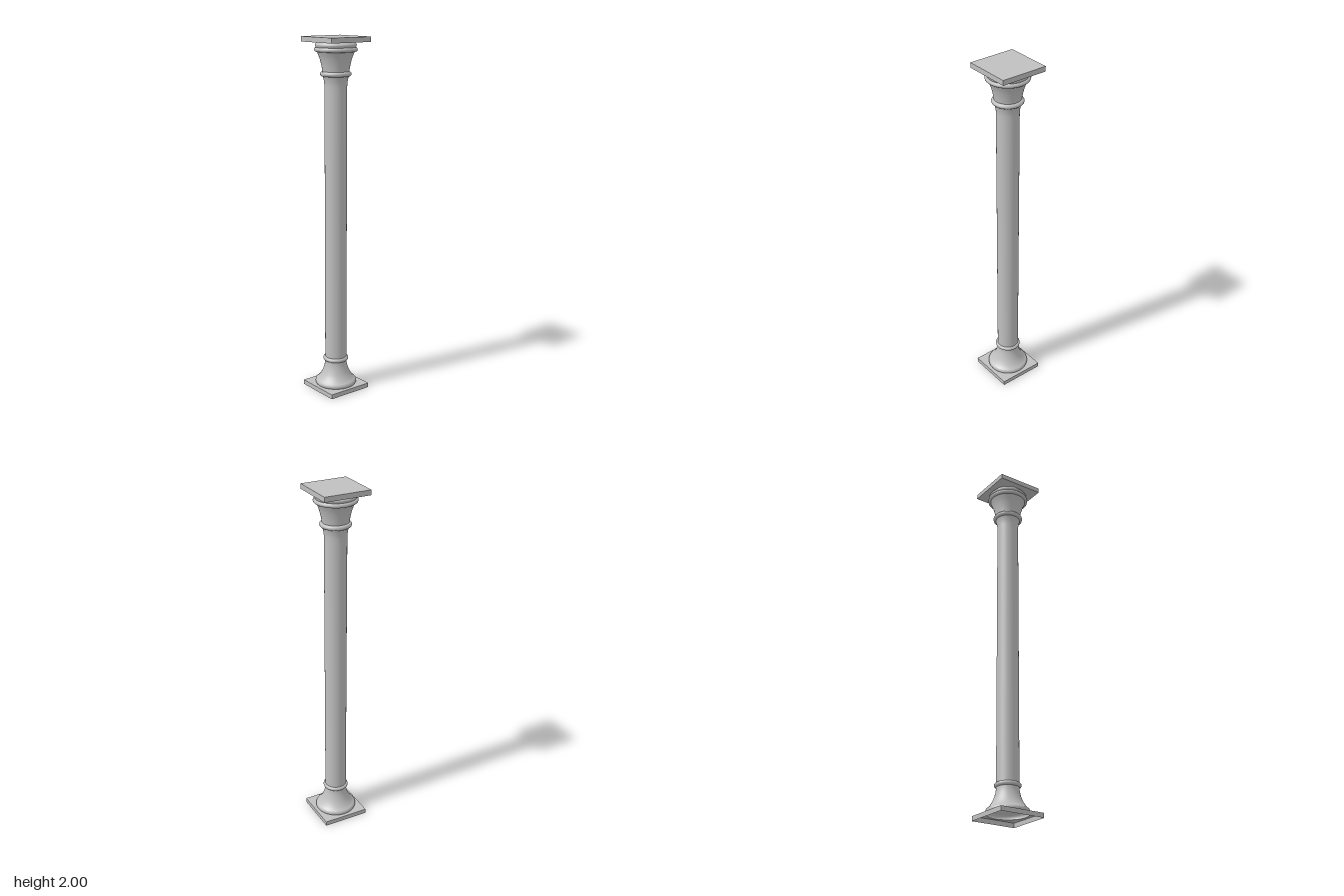
import * as THREE from 'three';

export function createModel() {
  const column = new THREE.Group();
  column.name = 'column';
  const stone = new THREE.MeshStandardMaterial({ color: 0xc0c0c0, side: THREE.DoubleSide });
  stone.name = 'grey stone';

  const add = (name, geometry, y = 0) => {
    const mesh = new THREE.Mesh(geometry, stone);
    mesh.name = name;
    mesh.position.y = y;
    column.add(mesh);
    return mesh;
  };
  // Turned part from [radius, height] points, optionally smoothed by a spline
  const turn = (name, points, smooth = false) => {
    let profile = points.map(([r, y]) => new THREE.Vector2(r, y));
    if (smooth) profile = new THREE.SplineCurve(profile).getPoints(20);
    return add(name, new THREE.LatheGeometry(profile, 48));
  };
  // Rounded moulding around the column
  const ring = (name, radius, y, tube) => {
    const geometry = new THREE.TorusGeometry(radius, tube, 12, 48);
    geometry.rotateX(Math.PI / 2);
    add(name, geometry, y);
  };

  const half = 0.133;

  // Hollow plinth: four side walls and a top with a round opening
  const square = new THREE.Shape([
    new THREE.Vector2(-half, -half), new THREE.Vector2(half, -half),
    new THREE.Vector2(half, half), new THREE.Vector2(-half, half),
  ]);
  square.holes.push(new THREE.Path().absarc(0, 0, 0.113, 0, Math.PI * 2, true));
  const plinthTop = new THREE.ShapeGeometry(square, 24);
  plinthTop.rotateX(-Math.PI / 2);
  add('plinthTop', plinthTop, 0.026);
  for (let i = 0; i < 4; i++) {
    const wall = new THREE.PlaneGeometry(half * 2, 0.026);
    wall.translate(0, 0.013, half);
    wall.rotateY(i * Math.PI / 2);
    add('plinthWall', wall);
  }

  // Flared base
  turn('baseFoot', [[0.113, 0.026], [0.117, 0.033], [0.117, 0.042], [0.113, 0.05]], true);
  turn('baseFlare', [[0.113, 0.05], [0.098, 0.064], [0.082, 0.088], [0.07, 0.117], [0.063, 0.145], [0.061, 0.17]], true);
  ring('baseRing', 0.06, 0.178, 0.012);

  // Shaft, spreading slightly at the neck
  turn('shaft', [[0.061, 0.17], [0.061, 1.72]]);
  turn('neck', [[0.061, 1.72], [0.062, 1.75], [0.066, 1.775], [0.072, 1.795]], true);

  // Capital
  ring('neckRing', 0.072, 1.803, 0.013);
  turn('capitalBell', [[0.07, 1.805], [0.078, 1.85], [0.089, 1.89], [0.105, 1.928]], true);
  ring('lipRing', 0.105, 1.932, 0.012);
  turn('lip', [[0.105, 1.94], [0.11, 1.95], [0.111, 1.958], [0.105, 1.966], [0.098, 1.973]], true);
  add('abacus', new THREE.BoxGeometry(half * 2, 0.028, half * 2), 1.986);

  return column;
}
